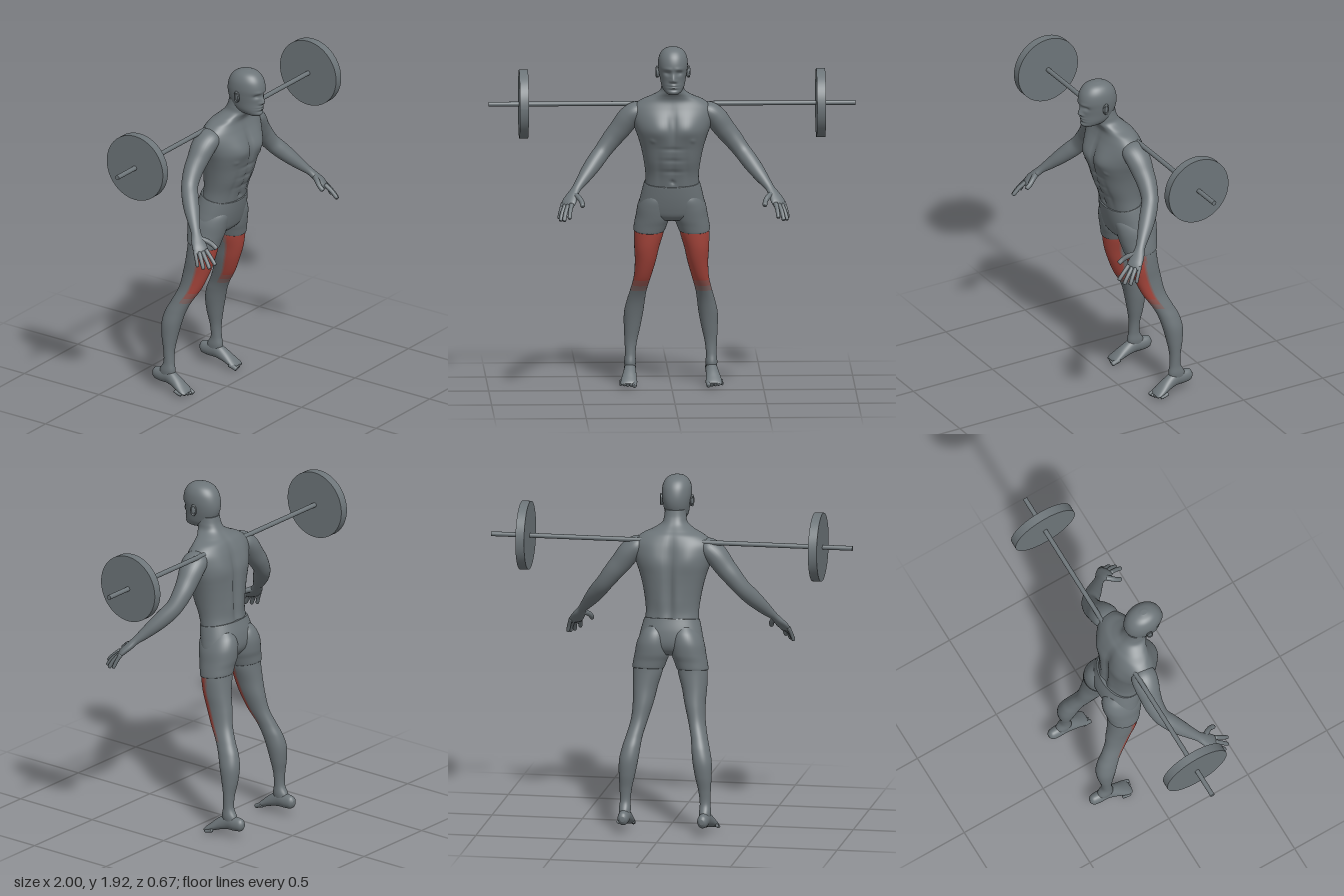
import * as THREE from 'three';

const material = (name, color) => {
  const m = new THREE.MeshStandardMaterial({ color });
  m.name = name;
  return m;
};
const g2 = (u, v) => Math.exp(-u * u - v * v);

// Catmull-Rom resampling of rows of numbers
function resample(rows, n) {
  const out = [], last = rows.length - 1;
  for (let i = 0; i <= n; i++) {
    const u = (i / n) * last, k = Math.min(Math.floor(u), last - 1), t = u - k;
    const [a, b, c, d] = [k - 1, k, k + 1, k + 2].map(j => rows[Math.max(0, Math.min(last, j))]);
    out.push(b.map((p, q) => p + 0.5 * t * (c[q] - a[q] + t * (2 * a[q] - 5 * p + 4 * c[q] - d[q]
      + t * (3 * (p - c[q]) + d[q] - a[q])))));
  }
  return out;
}

// Closed skin over rings of points; paint(angle, y) picks a material index
function skin(rings, paint = () => 0) {
  const seg = rings[0].length, pos = [], lists = [[], [], [], []];
  rings.forEach(r => r.forEach(p => pos.push(p.x, p.y, p.z)));
  const at = (i, j) => i * seg + (j % seg);
  for (let i = 0; i < rings.length - 1; i++) for (let j = 0; j < seg; j++) {
    const list = lists[paint(((j + 0.5) / seg) * 360, rings[i][j].y)];
    list.push(at(i, j), at(i, j + 1), at(i + 1, j), at(i, j + 1), at(i + 1, j + 1), at(i + 1, j));
  }
  [0, rings.length - 1].forEach((r, end) => {
    const c = rings[r].reduce((s, p) => s.add(p), new THREE.Vector3()).divideScalar(seg);
    const k = pos.length / 3;
    pos.push(c.x, c.y, c.z);
    for (let j = 0; j < seg; j++) {
      if (end) lists[0].push(k, at(r, j), at(r, j + 1));
      else lists[0].push(k, at(r, j + 1), at(r, j));
    }
  });
  const geo = new THREE.BufferGeometry();
  geo.setAttribute('position', new THREE.Float32BufferAttribute(pos, 3));
  geo.setIndex(lists.flat());
  let start = 0;
  lists.forEach((l, m) => { if (l.length) geo.addGroup(start, l.length, m); start += l.length; });
  geo.computeVertexNormals();
  return geo;
}

// Level sections, top to bottom: [y, centre x, half width, front z, back z]
function loft(rows, { n = 60, seg = 48, tilt = 0, power = 1, shape, paint } = {}) {
  const pw = v => Math.sign(v) * Math.abs(v) ** power;
  return skin(resample(rows, n).map(([y, cx, w, zf, zb]) => Array.from({ length: seg }, (_, j) => {
    const a = (j / seg) * Math.PI * 2, s = pw(Math.sin(a));
    const d = ((zf - zb) / 2) * s;
    const p = new THREE.Vector3(cx + w * pw(Math.cos(a)), y - tilt * d, (zf + zb) / 2 + d);
    if (shape) shape(p, s);
    return p;
  })), paint);
}

// Sections across a path: [x, y, z, half width, half thickness]
function sweep(rows, n = 24, seg = 20) {
  const r = resample(rows, n), up = new THREE.Vector3(0, 1, 0);
  return skin(r.map(([x, y, z, a, b], i) => {
    const t = new THREE.Vector3(...r[Math.min(i + 1, n)].slice(0, 3))
      .sub(new THREE.Vector3(...r[Math.max(i - 1, 0)].slice(0, 3))).normalize();
    const side = up.clone().cross(t).normalize(), nrm = t.clone().cross(side);
    return Array.from({ length: seg }, (_, j) => {
      const q = (j / seg) * Math.PI * 2;
      return new THREE.Vector3(x, y, z).addScaledVector(side, a * Math.cos(q)).addScaledVector(nrm, b * Math.sin(q));
    });
  }));
}

// Rounded finger or toe
function digit(points, r) {
  const rows = points.map((p, i) => [...p, r * (1 - 0.08 * i), r * (1 - 0.08 * i)]);
  const a = rows.at(-2), b = rows.at(-1);
  rows.push(b.map((v, k) => (k < 3 ? v + (v - a[k]) * 0.12 : r * 0.25)));
  return sweep(rows, 12, 12);
}

function mirror(geo) {
  const m = geo.clone().scale(-1, 1, 1), ix = m.index.array;
  for (let i = 0; i < ix.length; i += 3) [ix[i + 1], ix[i + 2]] = [ix[i + 2], ix[i + 1]];
  m.computeVertexNormals();
  return m;
}

export function createModel() {
  const model = new THREE.Group();
  model.name = 'athleteWithBarbell';
  const grey = material('grey', 0x6d7579);
  const thighColors = [grey, material('red', 0xa8463c), material('fadedRed', 0x935650), material('faintRed', 0x7f6765)];
  const add = (name, geo, mat = grey) => {
    const mesh = new THREE.Mesh(geo, mat);
    mesh.name = name;
    model.add(mesh);
    return mesh;
  };
  const pair = (name, geo, mat) => {
    add('left' + name, geo, mat);
    add('right' + name, mirror(geo), mat);
  };

  // Barbell
  add('bar', new THREE.CylinderGeometry(0.013, 0.013, 2, 24).rotateZ(Math.PI / 2).translate(0, 1.58, -0.02));
  pair('WeightPlate', new THREE.CylinderGeometry(0.188, 0.188, 0.048, 64).rotateZ(Math.PI / 2).translate(0.81, 1.58, -0.02));

  // Neck and torso with chest, stomach and back relief
  add('torso', loft([
    [1.74, 0, 0.056, 0.14, 0.03], [1.70, 0, 0.06, 0.145, 0.02], [1.665, 0, 0.07, 0.14, 0],
    [1.635, 0, 0.115, 0.122, -0.03], [1.61, 0, 0.17, 0.115, -0.055], [1.57, 0, 0.215, 0.125, -0.075],
    [1.52, 0, 0.222, 0.142, -0.09], [1.46, 0, 0.207, 0.158, -0.105], [1.40, 0, 0.186, 0.158, -0.11],
    [1.34, 0, 0.169, 0.146, -0.11], [1.27, 0, 0.155, 0.128, -0.108], [1.20, 0, 0.146, 0.1, -0.107],
    [1.14, 0, 0.147, 0.083, -0.116], [1.08, 0, 0.15, 0.07, -0.12],
  ], {
    n: 110, seg: 88, power: 0.9, shape: (p, s) => {
      const x = Math.abs(p.x), y = p.y;
      if (s > 0) {
        const pec = g2((x - 0.085) / 0.075, (y - 1.455) / (y < 1.455 ? 0.055 : 0.09));
        const chestLine = 0.012 * g2(x / 0.014, (y - 1.46) / 0.09);
        const abLine = 0.006 * g2(x / 0.012, (y - 1.26) / 0.11);
        const rows = [1.35, 1.285, 1.22].reduce((v, r) => v + 0.005 * g2(x / 0.06, (y - r) / 0.01), 0);
        const sides = 0.006 * g2((x - 0.075) / 0.015, (y - 1.24) / 0.09);
        const navel = 0.012 * g2(x / 0.01, (y - 1.16) / 0.012);
        const nipple = 0.006 * g2((x - 0.11) / 0.011, (y - 1.395) / 0.011);
        p.z += s * (0.024 * pec + nipple - chestLine - abLine - rows - sides - navel);
      } else {
        const spine = 0.02 * g2(x / 0.022, (y - 1.36) / 0.2);
        const blade = 0.014 * g2((x - 0.1) / 0.06, (y - 1.5) / 0.08);
        const loin = 0.006 * g2((x - 0.045) / 0.03, (y - 1.22) / 0.1);
        p.z += -s * (spine - blade - loin);
      }
    },
  }));

  // Head with brow, sockets, nose, lips and chin
  add('head', loft([
    [1.662, 0, 0.028, 0.222, 0.13], [1.675, 0, 0.046, 0.233, 0.09], [1.70, 0, 0.061, 0.232, 0.055],
    [1.74, 0, 0.07, 0.231, 0.032], [1.78, 0, 0.077, 0.237, 0.021], [1.82, 0, 0.081, 0.243, 0.022],
    [1.86, 0, 0.077, 0.234, 0.034], [1.89, 0, 0.063, 0.214, 0.056], [1.908, 0, 0.042, 0.188, 0.085],
    [1.917, 0, 0.014, 0.155, 0.12],
  ].reverse(), {
    n: 80, seg: 88, power: 0.95, shape: (p, s) => {
      if (s <= 0) return;
      const x = Math.abs(p.x), y = p.y;
      p.z += 0.022 * g2(x / 0.014, (y - 1.743) / (y < 1.743 ? 0.01 : 0.03))
        + 0.006 * g2((x - 0.014) / 0.01, (y - 1.738) / 0.01)
        - 0.013 * g2((x - 0.033) / 0.017, (y - 1.783) / 0.013)
        + 0.005 * g2((x - 0.03) / 0.025, (y - 1.805) / 0.01)
        + 0.008 * g2(x / 0.024, (y - 1.716) / 0.006) + 0.007 * g2(x / 0.02, (y - 1.703) / 0.006)
        - 0.004 * g2(x / 0.03, (y - 1.71) / 0.003) - 0.005 * g2(x / 0.03, (y - 1.69) / 0.006);
    },
  }));
  pair('Eye', new THREE.SphereGeometry(0.011, 16, 12).scale(1.2, 0.7, 1).translate(0.032, 1.783, 0.201));
  pair('Ear', new THREE.SphereGeometry(0.03, 20, 14).scale(0.32, 1, 0.6).rotateY(0.3).translate(0.081, 1.776, 0.127));
  pair('EarRim', new THREE.TorusGeometry(0.022, 0.005, 8, 20).scale(0.65, 1.25, 1)
    .rotateY(Math.PI / 2 + 0.3).translate(0.087, 1.778, 0.125));

  // Shorts: seat and two short legs
  add('shortsSeat', loft([
    [1.15, 0, 0.15, 0.088, -0.124], [1.14, 0, 0.154, 0.088, -0.128], [1.08, 0, 0.169, 0.076, -0.146],
    [1.02, 0, 0.18, 0.06, -0.152], [0.98, 0, 0.165, 0.045, -0.14], [0.95, 0, 0.11, 0.02, -0.11],
  ], { tilt: 0.18, power: 0.92 }));
  pair('ShortsLeg', loft([
    [1.11, 0.08, 0.055, 0.05, -0.125], [1.07, 0.086, 0.078, 0.062, -0.156], [1.02, 0.094, 0.091, 0.056, -0.171],
    [0.96, 0.102, 0.094, 0.043, -0.17], [0.92, 0.113, 0.091, 0.032, -0.163], [0.885, 0.122, 0.087, 0.023, -0.16],
    [0.878, 0.122, 0.083, 0.019, -0.156],
  ], { tilt: 0.16, power: 0.94 }));

  // Legs, with the front thigh muscle highlighted
  pair('Leg', loft([
    [0.91, 0.12, 0.08, 0.02, -0.153], [0.86, 0.125, 0.08, 0.015, -0.156], [0.78, 0.136, 0.068, 0, -0.165],
    [0.70, 0.143, 0.057, -0.026, -0.18], [0.61, 0.158, 0.047, -0.066, -0.198], [0.53, 0.178, 0.045, -0.116, -0.233],
    [0.47, 0.191, 0.049, -0.145, -0.263], [0.40, 0.203, 0.052, -0.167, -0.28], [0.32, 0.211, 0.045, -0.186, -0.276],
    [0.24, 0.218, 0.034, -0.2, -0.262], [0.17, 0.221, 0.029, -0.2, -0.26], [0.12, 0.222, 0.032, -0.192, -0.284],
    [0.075, 0.222, 0.026, -0.2, -0.295],
  ], {
    n: 120, seg: 72, power: 0.95, paint: (angle, y) => {
      const reach = Math.abs(angle - 90) - Math.max(0, y - 0.8) * 40;
      const s = Math.min((84 - reach) / 20, (y - 0.525) / 0.1);
      return s > 0.75 ? 1 : s > 0.42 ? 2 : s > 0.12 ? 3 : 0;
    },
  }), thighColors);

  // Feet, pointing down toward the toes
  pair('Foot', sweep([
    [0.219, 0.085, -0.334, 0.012, 0.014], [0.22, 0.085, -0.318, 0.027, 0.034], [0.221, 0.084, -0.28, 0.032, 0.04],
    [0.222, 0.084, -0.23, 0.032, 0.042], [0.226, 0.065, -0.18, 0.037, 0.033], [0.231, 0.04, -0.135, 0.043, 0.023],
    [0.233, 0.024, -0.105, 0.044, 0.015], [0.233, 0.018, -0.092, 0.035, 0.008],
  ], 40, 32));
  for (let i = 0; i < 5; i++) {
    const x = 0.199 + i * 0.0185, tip = -0.082 - i * i * 0.0018, r = i ? 0.0095 : 0.014;
    pair('Toe' + (i + 1), digit([[x, 0.03, tip - 0.045], [x + 0.002, 0.021, tip - 0.02], [x + 0.003, 0.0125 + i * 0.0012, tip]], r));
  }

  // Arms, running from shoulder to palm
  pair('Arm', sweep([
    [0.15, 1.565, 0.02, 0.045, 0.03], [0.195, 1.545, 0.018, 0.07, 0.054], [0.24, 1.505, 0.012, 0.07, 0.061],
    [0.285, 1.445, 0.008, 0.06, 0.058], [0.33, 1.39, 0.008, 0.053, 0.053], [0.38, 1.325, 0.022, 0.046, 0.047],
    [0.42, 1.275, 0.055, 0.046, 0.046], [0.46, 1.225, 0.095, 0.042, 0.04], [0.5, 1.175, 0.138, 0.032, 0.03],
    [0.53, 1.138, 0.172, 0.027, 0.021], [0.552, 1.105, 0.2, 0.037, 0.02], [0.57, 1.075, 0.228, 0.043, 0.018],
    [0.582, 1.05, 0.246, 0.04, 0.012],
  ], 70, 32));
  const fingers = [
    [[0.602, 1.068, 0.215], [0.615, 1.03, 0.235], [0.624, 0.992, 0.25]],
    [[0.59, 1.06, 0.235], [0.607, 1.022, 0.264], [0.617, 0.985, 0.284]],
    [[0.575, 1.06, 0.248], [0.59, 1.025, 0.284], [0.598, 0.988, 0.311]],
    [[0.556, 1.068, 0.258], [0.565, 1.035, 0.297], [0.569, 1.003, 0.327]],
  ];
  fingers.forEach((f, i) => pair('Finger' + (i + 1), digit(f, i ? 0.0125 : 0.011)));
  pair('Thumb', digit([[0.541, 1.115, 0.196], [0.515, 1.1, 0.235], [0.5, 1.08, 0.262], [0.497, 1.062, 0.285]], 0.016));

  return model;
}
